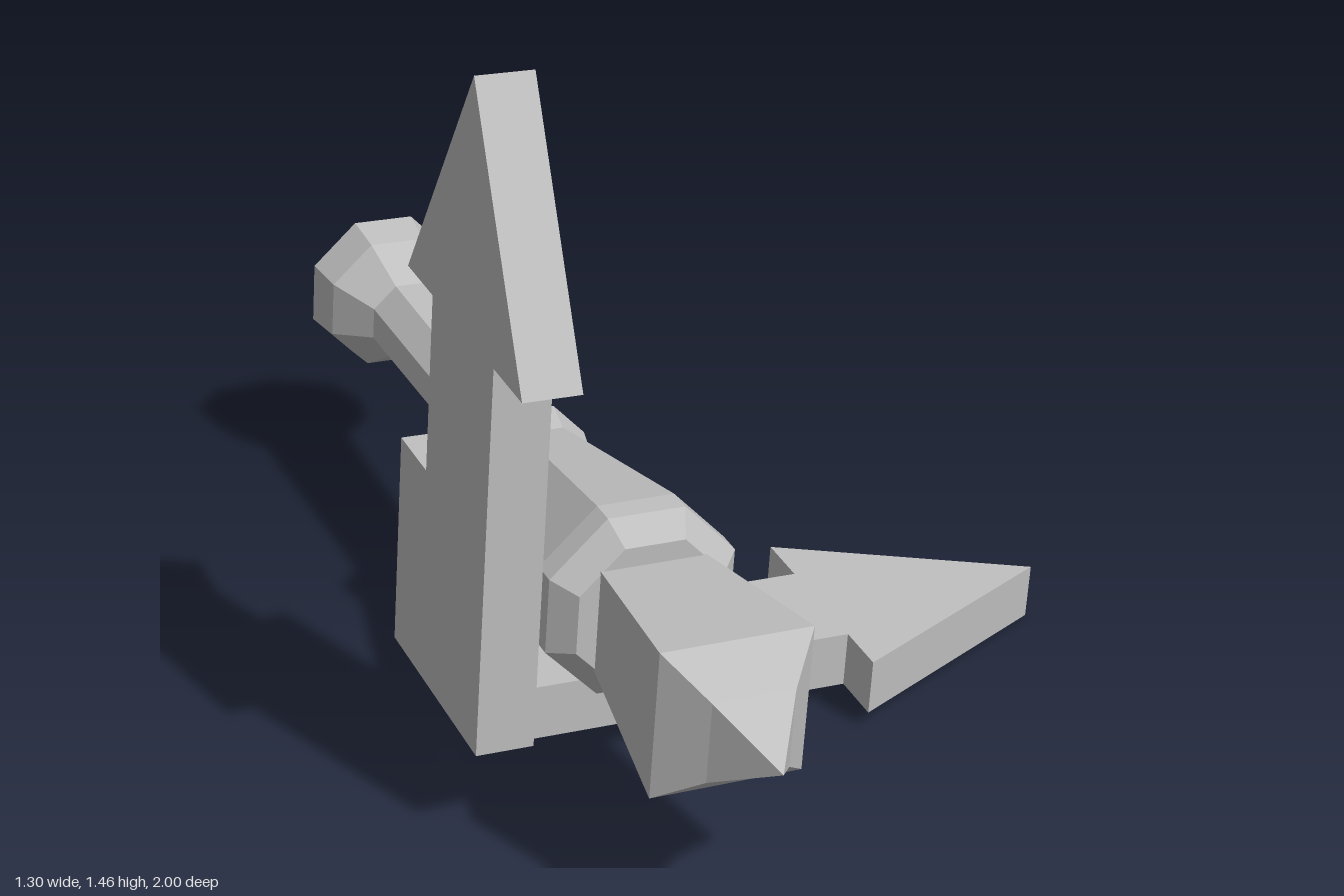
import * as THREE from 'three';

const TILT = -0.0716; // everything leans slightly about z

export function createModel() {
  const model = new THREE.Group();
  model.name = 'arrowGizmo';
  const grey = new THREE.MeshStandardMaterial({ color: 0xbfbfbf });
  grey.name = 'grey';

  // Faceted mesh with hard edges
  const add = (name, geometry, parent = model) => {
    const flat = geometry.index ? geometry.toNonIndexed() : geometry;
    flat.computeVertexNormals();
    const mesh = new THREE.Mesh(flat, grey);
    mesh.name = name;
    parent.add(mesh);
    return mesh;
  };

  // Flat plate of even thickness, centred on its own plane
  const plate = (points) => {
    const shape = new THREE.Shape(points.map(([x, y]) => new THREE.Vector2(x, y)));
    return new THREE.ExtrudeGeometry(shape, { depth: 0.112, bevelEnabled: false })
      .translate(0, 0, -0.056);
  };

  // Faceted turning along z from [radius, z] points
  const turned = (profile, sides) => new THREE.LatheGeometry(
    profile.map(([r, z]) => new THREE.Vector2(r, z)), sides, Math.PI / sides,
  ).rotateX(Math.PI / 2);

  // Upright arrow, with a step at its rear foot
  const upright = add('uprightArrow', plate([
    [0.005, 0], [0.445, 0], [0.445, 0.785], [0.58, 0.785], [0.297, 1.27],
    [0.01, 0.785], [0.14, 0.785], [0.14, 0.43], [0.005, 0.43],
  ]).rotateY(-Math.PI / 2));
  upright.position.set(-0.595, 0.194, 0);
  upright.rotation.z = TILT;

  // Lying arrow pointing sideways
  const lying = add('lyingArrow', plate([
    [0, 0.03], [0.685, 0.03], [0.685, -0.084], [1.157, 0.147],
    [0.685, 0.386], [0.685, 0.275], [0, 0.275],
  ]).rotateX(Math.PI / 2));
  lying.position.set(-0.5075, 0.1425, 0);
  lying.rotation.z = TILT;

  // Pointed shaft along z
  const shaft = new THREE.Group();
  shaft.name = 'shaft';
  shaft.position.set(-0.306, 0.413, 0);
  shaft.rotation.set(0.0075, 0.01, TILT);
  model.add(shaft);

  // Octagonal handle: hollow flared end, grip, collar, swelling socket
  add('handle', turned([
    [0, -0.82], [0.08, -0.82], [0.145, -0.91], [0.163, -1], [0.15, -0.912], [0.086, -0.825],
    [0.079, -0.205], [0.127, -0.165], [0.112, -0.1],
    [0.2, 0.34], [0.2, 0.39], [0.156, 0.437], [0, 0.437],
  ], 8), shaft);

  // Square head with a pyramid tip
  const s = Math.SQRT2;
  add('squareHead', turned([
    [0, 0.42], [0.103 * s, 0.42], [0.148 * s, 0.79], [0.08 * s, 0.87], [0, 1],
  ], 4), shaft);

  return model;
}
